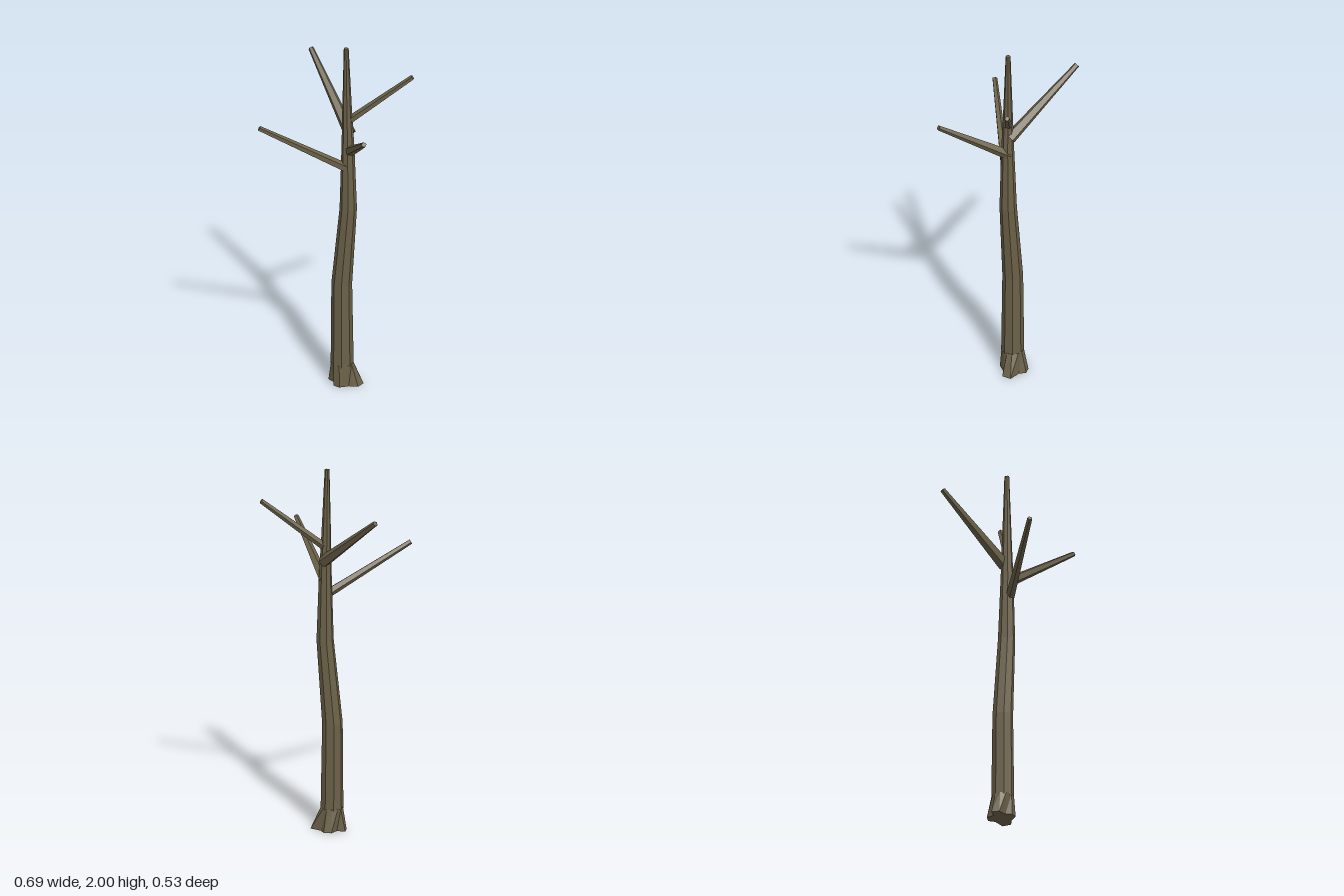
import * as THREE from 'three';

// Joins rings of points [x, y, z] listed bottom to top, and closes both ends.
function loft(rings) {
  const n = rings[0].length, pos = [], index = [];
  rings.forEach(r => r.forEach(p => pos.push(...p)));
  for (let k = 0; k < rings.length - 1; k++) {
    for (let i = 0; i < n; i++) {
      const a = k * n + i, b = k * n + (i + 1) % n;
      index.push(a, a + n, b, b, a + n, b + n);
    }
  }
  [[rings[0], 0, false], [rings.at(-1), (rings.length - 1) * n, true]].forEach(([ring, start, top]) => {
    const c = pos.length / 3;
    pos.push(...[0, 1, 2].map(j => ring.reduce((s, p) => s + p[j], 0) / n));
    for (let i = 0; i < n; i++) {
      const a = start + i, b = start + (i + 1) % n;
      if (top) index.push(c, b, a);
      else index.push(c, a, b);
    }
  });
  const g = new THREE.BufferGeometry();
  g.setAttribute('position', new THREE.Float32BufferAttribute(pos, 3));
  g.setIndex(index);
  g.computeVertexNormals();
  return g;
}

export function createModel() {
  const group = new THREE.Group();
  const bark = new THREE.MeshStandardMaterial({ color: 0x6b6148, flatShading: true });
  bark.name = 'bark';
  const add = (name, geometry) => {
    const mesh = new THREE.Mesh(geometry, bark);
    mesh.name = name;
    group.add(mesh);
    return mesh;
  };

  // Trunk: height, centre x, centre z, radius
  const sections = [
    [0.11, -0.003, -0.056, 0.061],
    [0.59, -0.005, -0.055, 0.055],
    [1.05, 0.038, -0.053, 0.046],
    [1.42, 0.038, -0.05, 0.034],
    [1.6, 0.034, -0.049, 0.027],
    [2, 0.029, -0.047, 0.013],
  ];
  add('trunk', loft(sections.map(([y, x, z, r]) =>
    Array.from({ length: 8 }, (_, i) => {
      const a = (i + 0.3) * Math.PI / 4;
      return [x + Math.cos(a) * r, y, z + Math.sin(a) * r];
    }))));

  // Root flare: lobed outline on the ground narrowing to the trunk
  const outline = [
    [-0.033, -0.135], [0.008, -0.146], [0.034, -0.117], [0.1, -0.105],
    [0.1, -0.055], [0.055, -0.032], [0.022, 0.008], [-0.016, 0.006],
    [-0.032, -0.027], [-0.08, -0.04], [-0.09, -0.082], [-0.045, -0.09],
  ];
  const collar = outline.map(([x, z]) => {
    const a = Math.atan2(z + 0.056, x);
    return [-0.003 + Math.cos(a) * 0.06, 0.12, -0.056 + Math.sin(a) * 0.06];
  });
  add('rootFlare', loft([outline.map(([x, z]) => [x, 0, z]), collar]));

  // Branches: base, tip, base radius, tip radius
  const branches = [
    ['backRightBranch', [0.04, 1.49, -0.065], [-0.335, 1.81, -0.252], 0.034, 0.015],
    ['backLeftBranch', [0.04, 1.57, -0.055], [0.332, 1.84, -0.226], 0.022, 0.014],
    ['frontLeftBranch', [0.04, 1.385, -0.06], [0.316, 1.62, 0.21], 0.03, 0.014],
    ['frontRightBranch', [0.035, 1.3, -0.03], [-0.325, 1.55, 0.253], 0.025, 0.014],
  ];
  for (const [name, from, to, r0, r1] of branches) {
    const a = new THREE.Vector3(...from), dir = new THREE.Vector3(...to).sub(a);
    const len = dir.length();
    const mesh = add(name, new THREE.CylinderGeometry(r1, r0, len, 5).translate(0, len / 2, 0));
    mesh.position.copy(a);
    mesh.quaternion.setFromUnitVectors(new THREE.Vector3(0, 1, 0), dir.normalize());
  }
  return group;
}
